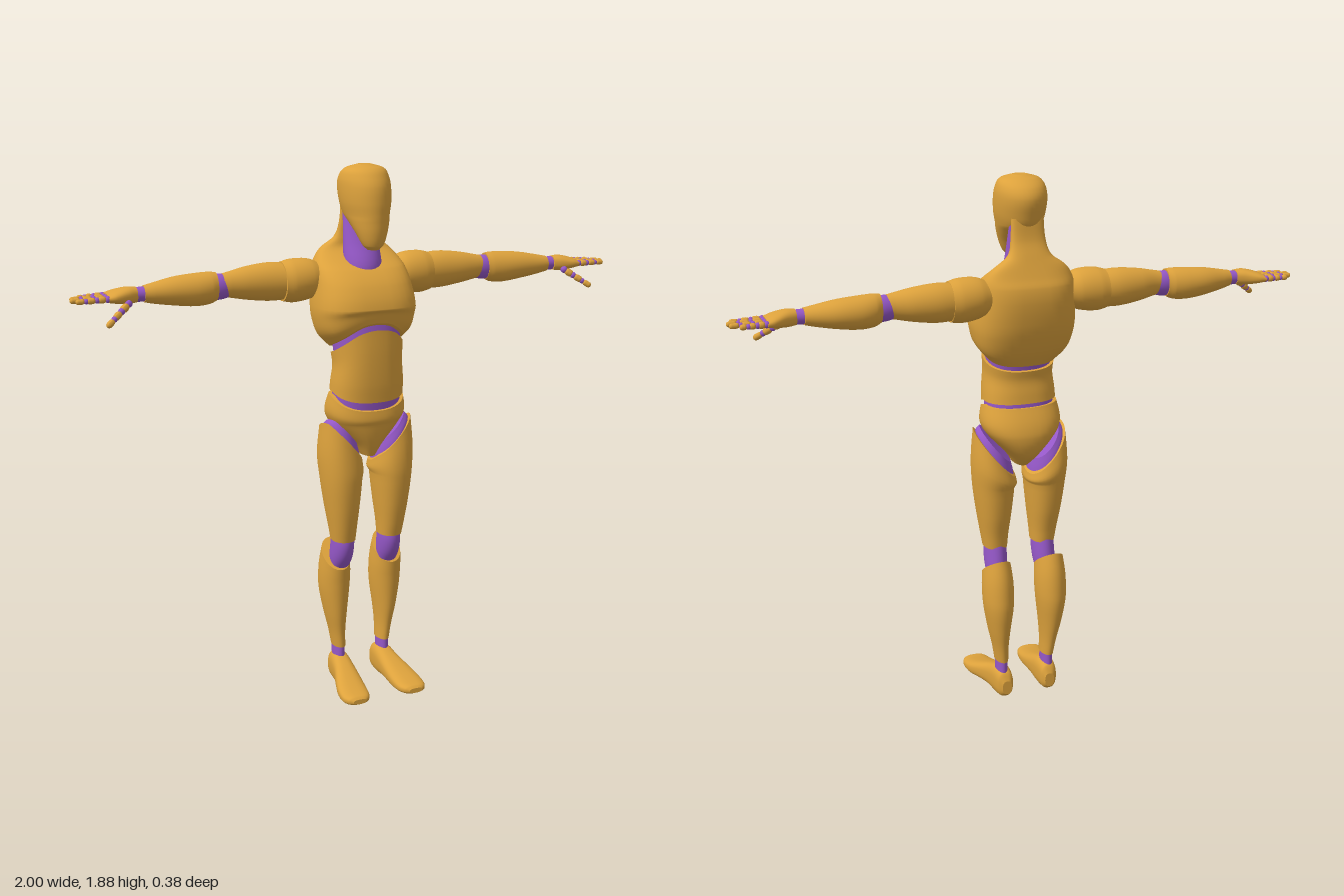
import * as THREE from 'three';

const gold = new THREE.MeshStandardMaterial({ color: 0xdda23c });
gold.name = 'gold shell';
const purple = new THREE.MeshStandardMaterial({ color: 0x9558c8 });
purple.name = 'purple joint';

const clamp = (v) => Math.min(1, Math.max(0, v));

// Smooth loft along an axis. Each row: [t, uMin, uMax, vMin, vMax],
// (u, v) = (z, x) for axis y, (y, z) for axis x, (x, y) for axis z.
function loft(rows, axis, { power = 2, warp, segs = 36, steps = 4 } = {}) {
  const rings = [];
  const n = rows.length;
  const slope = (i, c) => {
    const a = rows[Math.max(0, i - 1)], b = rows[Math.min(n - 1, i + 1)];
    return (b[c] - a[c]) / (b[0] - a[0]);
  };
  for (let i = 0; i < n - 1; i++) {
    const p = rows[i], q = rows[i + 1], h = q[0] - p[0];
    for (let s = i ? 1 : 0; s <= steps; s++) {
      const k = s / steps, k2 = k * k, k3 = k2 * k;
      rings.push(p.map((b, c) => (2 * k3 - 3 * k2 + 1) * b + (k3 - 2 * k2 + k) * h * slope(i, c)
        + (3 * k2 - 2 * k3) * q[c] + (k3 - k2) * h * slope(i + 1, c)));
      rings[rings.length - 1][0] = p[0] + h * k;
    }
  }
  const pos = [], index = [];
  const put = (u, v, t) => {
    const p = axis === 'y' ? new THREE.Vector3(v, t, u)
      : axis === 'x' ? new THREE.Vector3(t, u, v) : new THREE.Vector3(u, v, t);
    if (warp) warp(p);
    pos.push(p.x, p.y, p.z);
  };
  const bend = (a) => Math.sign(a) * Math.abs(a) ** (2 / power);
  const ring = ([t, u0, u1, v0, v1]) => {
    for (let j = 0; j < segs; j++) {
      const a = (j / segs) * Math.PI * 2;
      put((u0 + u1) / 2 + (u1 - u0) / 2 * bend(Math.cos(a)), (v0 + v1) / 2 + (v1 - v0) / 2 * bend(Math.sin(a)), t);
    }
  };
  rings.forEach(ring);
  for (let i = 0; i < rings.length - 1; i++) {
    for (let j = 0; j < segs; j++) {
      const a = i * segs + j, b = i * segs + (j + 1) % segs;
      index.push(a, b, a + segs, b, b + segs, a + segs);
    }
  }
  // end caps with their own vertices, so the rims stay sharp
  [rings[0], rings[rings.length - 1]].forEach((r, end) => {
    const base = pos.length / 3;
    ring(r);
    put((r[1] + r[2]) / 2, (r[3] + r[4]) / 2, r[0]);
    for (let j = 0; j < segs; j++) {
      const a = base + j, b = base + (j + 1) % segs;
      index.push(base + segs, end ? a : b, end ? b : a);
    }
  });
  const g = new THREE.BufferGeometry();
  g.setAttribute('position', new THREE.Float32BufferAttribute(pos, 3));
  g.setIndex(index);
  g.computeVertexNormals();
  return g;
}

// Mirror a geometry across x = 0, keeping faces outward
function mirror(geo) {
  const g = geo.clone().scale(-1, 1, 1);
  const ix = g.index.array;
  for (let i = 0; i < ix.length; i += 3) [ix[i], ix[i + 1]] = [ix[i + 1], ix[i]];
  g.computeVertexNormals();
  return g;
}

export function createModel() {
  const model = new THREE.Group();
  model.name = 'mannequin';
  const add = (name, geo, mat) => {
    const m = new THREE.Mesh(geo, mat);
    m.name = name;
    model.add(m);
  };
  const pair = (name, geo, mat) => {
    add(name + 'Left', geo, mat);
    add(name + 'Right', mirror(geo), mat);
  };
  // symmetric row: y, back z, front z, half width
  const sym = (rows) => rows.map(([y, b, f, w]) => [y, b, f, -w, w]);

  // Head and neck
  add('head', loft(sym([[1.605, 0.03, 0.075, 0.02], [1.62, 0.015, 0.088, 0.035], [1.66, -0.02, 0.096, 0.053],
    [1.70, -0.075, 0.097, 0.068], [1.72, -0.108, 0.097, 0.074], [1.76, -0.125, 0.096, 0.083],
    [1.81, -0.135, 0.088, 0.086], [1.845, -0.12, 0.07, 0.081], [1.87, -0.085, 0.045, 0.064],
    [1.882, -0.045, 0.005, 0.025]]), 'y'), gold);
  add('neck', loft(sym([[1.49, -0.12, 0.03, 0.068], [1.55, -0.1, 0.027, 0.066], [1.62, -0.1, -0.003, 0.062],
    [1.73, -0.1, -0.045, 0.056]]), 'y'), purple);

  // Chest, running up into the back of the neck; the lower rim arches at the front
  const rimLift = (p) => 0.3 * Math.max(0, p.z + 0.11)
    + 0.05 * clamp(p.z / 0.09) * (1 - Math.min(1, (p.x / 0.14) ** 2));
  add('chest', loft(sym([[1.25, -0.11, 0.094, 0.125], [1.30, -0.142, 0.098, 0.16], [1.36, -0.167, 0.103, 0.175],
    [1.41, -0.18, 0.112, 0.178], [1.48, -0.188, 0.083, 0.17], [1.53, -0.183, 0.035, 0.162],
    [1.56, -0.168, -0.02, 0.15], [1.595, -0.152, -0.075, 0.122], [1.63, -0.137, -0.08, 0.075],
    [1.68, -0.117, -0.075, 0.06], [1.75, -0.108, -0.07, 0.056]]), 'y', {
    power: 2.7,
    warp: (p) => { p.y += rimLift(p) * clamp((1.41 - p.y) / 0.16); },
  }), gold);

  // Waist core showing in the gaps, abdomen and pelvis
  add('waistCore', loft(sym([[1.0, -0.1, 0.075, 0.112], [1.1, -0.098, 0.086, 0.119], [1.2, -0.088, 0.094, 0.112],
    [1.3, -0.105, 0.09, 0.118], [1.39, -0.12, 0.08, 0.12]]), 'y', { power: 2.4 }), purple);
  add('abdomen', loft(sym([[1.115, -0.105, 0.094, 0.128], [1.15, -0.101, 0.1, 0.126], [1.19, -0.095, 0.102, 0.12],
    [1.225, -0.1, 0.1, 0.124]]), 'y', {
    power: 2.4,
    warp: (p) => {
      const top = clamp((p.y - 1.15) / 0.075), low = clamp((1.15 - p.y) / 0.035);
      p.y += rimLift(p) * top - 0.33 * Math.max(0, p.z) * low;
    },
  }), gold);
  add('pelvis', loft(sym([[0.88, -0.07, 0.045, 0.025], [0.92, -0.115, 0.064, 0.052], [0.96, -0.135, 0.077, 0.09],
    [1.0, -0.141, 0.085, 0.125], [1.03, -0.136, 0.09, 0.139], [1.06, -0.125, 0.09, 0.14],
    [1.10, -0.105, 0.087, 0.133]]), 'y', {
    power: 2.3,
    warp: (p) => { p.y -= 0.55 * Math.max(0, p.z) * clamp((p.y - 1) / 0.1); },
  }), gold);

  // Legs: the top of the thigh slopes down to the crotch and to the back
  const hipSlope = (p) => {
    p.y -= clamp((p.y - 0.8) / 0.22) * (1.1 * Math.max(0, 0.165 - p.x) + 0.35 * Math.max(0, 0.03 - p.z));
  };
  pair('hipJoint', loft([[0.9, -0.1, 0.07, 0.026, 0.163], [1.02, -0.094, 0.062, 0.028, 0.157],
    [1.055, -0.085, 0.052, 0.038, 0.142]], 'y', { warp: hipSlope }), purple);
  pair('thigh', loft([[0.57, -0.06, 0.045, 0.048, 0.132], [0.62, -0.068, 0.056, 0.044, 0.14],
    [0.70, -0.086, 0.07, 0.035, 0.153], [0.80, -0.1, 0.08, 0.025, 0.166], [0.90, -0.11, 0.078, 0.018, 0.172],
    [1.02, -0.1, 0.068, 0.022, 0.164]], 'y', { power: 2.2, warp: hipSlope }), gold);
  pair('knee', loft([[0.45, -0.07, -0.005, 0.06, 0.125], [0.5, -0.075, 0.03, 0.053, 0.13],
    [0.55, -0.068, 0.045, 0.051, 0.13], [0.6, -0.058, 0.042, 0.053, 0.128]], 'y'), purple);
  pair('shin', loft([[0.14, -0.105, -0.02, 0.065, 0.11], [0.2, -0.115, -0.015, 0.065, 0.12],
    [0.27, -0.13, -0.005, 0.059, 0.136], [0.36, -0.143, 0.002, 0.048, 0.152], [0.43, -0.135, 0.006, 0.045, 0.155],
    [0.5, -0.108, 0.009, 0.05, 0.15]], 'y', {
    warp: (p) => { p.y += 0.75 * (-0.05 - p.z) * clamp((p.y - 0.4) / 0.1); },
  }), gold);
  pair('ankle', loft([[0.08, -0.1, -0.024, 0.067, 0.108], [0.16, -0.1, -0.024, 0.067, 0.108]], 'y'), purple);
  pair('foot', loft([[-0.115, 0.065, 0.1, 0.018, 0.07], [-0.098, 0.055, 0.114, 0.004, 0.1],
    [-0.05, 0.05, 0.122, 0, 0.11], [0, 0.05, 0.13, 0.004, 0.095], [0.05, 0.05, 0.145, 0.004, 0.076],
    [0.1, 0.052, 0.158, 0, 0.058], [0.15, 0.058, 0.16, 0.003, 0.044], [0.178, 0.07, 0.15, 0.008, 0.04],
    [0.19, 0.085, 0.135, 0.014, 0.032]], 'z', { power: 2.6 }), gold);

  // Arms, stretched out along x
  pair('shoulder', loft([[0.14, 1.445, 1.55, -0.145, -0.035], [0.18, 1.428, 1.566, -0.16, -0.022],
    [0.24, 1.42, 1.568, -0.165, -0.021], [0.275, 1.426, 1.56, -0.16, -0.03]], 'x'), gold);
  pair('upperArm', loft([[0.25, 1.432, 1.555, -0.155, -0.036], [0.32, 1.43, 1.56, -0.16, -0.04],
    [0.4, 1.44, 1.552, -0.15, -0.046], [0.46, 1.452, 1.54, -0.132, -0.055],
    [0.485, 1.456, 1.535, -0.126, -0.06]], 'x'), gold);
  pair('elbow', loft([[0.46, 1.455, 1.53, -0.127, -0.06], [0.495, 1.448, 1.535, -0.13, -0.058],
    [0.53, 1.45, 1.532, -0.128, -0.06]], 'x'), purple);
  pair('forearm', loft([[0.507, 1.446, 1.541, -0.134, -0.056], [0.53, 1.436, 1.543, -0.147, -0.049],
    [0.58, 1.432, 1.541, -0.155, -0.045], [0.65, 1.44, 1.535, -0.15, -0.048],
    [0.72, 1.452, 1.522, -0.13, -0.055], [0.755, 1.46, 1.515, -0.118, -0.06]], 'x'), gold);
  pair('wrist', loft([[0.74, 1.462, 1.513, -0.115, -0.062], [0.79, 1.464, 1.511, -0.113, -0.064]], 'x'), purple);
  pair('hand', loft([[0.78, 1.463, 1.513, -0.115, -0.06], [0.81, 1.46, 1.515, -0.126, -0.05],
    [0.85, 1.464, 1.507, -0.144, -0.042], [0.878, 1.469, 1.497, -0.147, -0.046]], 'x', { power: 2.4 }), gold);

  // Fingers and thumb: gold capsules with purple balls at the joints
  const digit = (name, from, to, radius) => {
    const a = new THREE.Vector3(...from), d = new THREE.Vector3(...to).sub(a);
    const len = d.length(), dir = d.clone().normalize();
    const turn = new THREE.Quaternion().setFromUnitVectors(new THREE.Vector3(0, 1, 0), dir);
    for (let i = 0; i < 3; i++) {
      const r = radius * (1 - 0.1 * i), seg = len / 3;
      const joint = a.clone().addScaledVector(dir, seg * i);
      const mid = joint.clone().addScaledVector(dir, seg / 2 + 0.002);
      pair(name + 'Joint' + i, new THREE.SphereGeometry(r * 0.98, 12, 8).translate(joint.x, joint.y, joint.z), purple);
      pair(name + 'Segment' + i, new THREE.CapsuleGeometry(r, Math.max(0.004, seg - 2 * r - 0.005), 4, 12)
        .applyQuaternion(turn).translate(mid.x, mid.y, mid.z), gold);
    }
  };
  [[-0.136, 0.965], [-0.11, 0.993], [-0.084, 0.998], [-0.058, 0.985]].forEach(([z, tip], i) =>
    digit('finger' + i, [0.88, 1.484, z], [tip, 1.482, z], 0.0115));
  digit('thumb', [0.815, 1.466, -0.052], [0.9, 1.406, 0.0], 0.013);

  return model;
}
